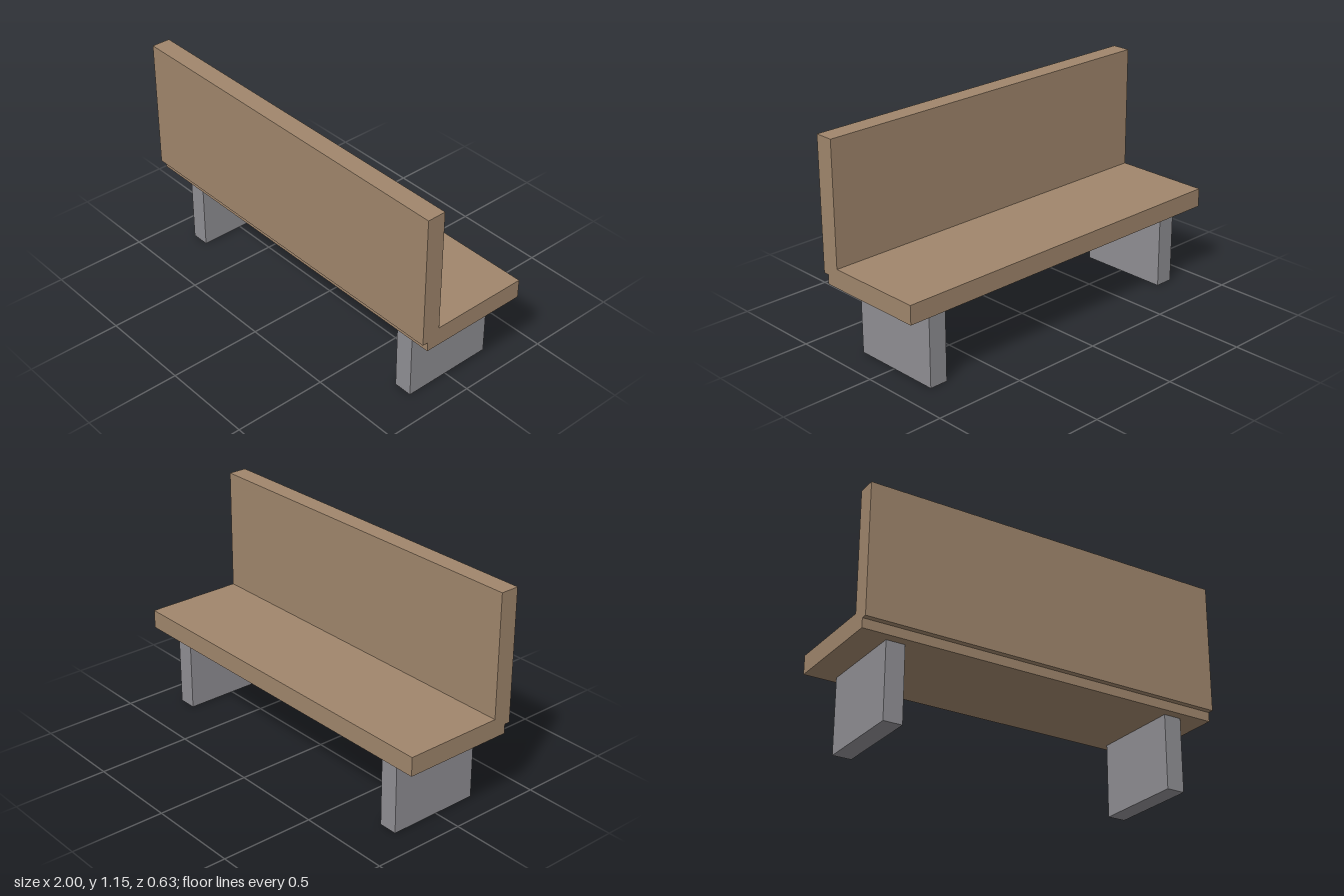
import * as THREE from 'three';

export function createModel() {
  const bench = new THREE.Group();
  bench.name = 'bench';

  const wood = new THREE.MeshStandardMaterial({ color: 0xa0866c });
  wood.name = 'wood';
  const stone = new THREE.MeshStandardMaterial({ color: 0x908f94 });
  stone.name = 'stone';

  // Seat and backrest: one side outline (-z, y) swept along the bench's length
  const outline = new THREE.Shape([
    [-0.285, 0.4], [0.315, 0.4], [0.315, 0.5], [-0.215, 0.5],
    [-0.215, 1.15], [-0.315, 1.15], [-0.315, 0.45], [-0.285, 0.45],
  ].map(([a, y]) => new THREE.Vector2(a, y)));
  const body = new THREE.ExtrudeGeometry(outline, { depth: 2, bevelEnabled: false });
  body.translate(0, 0, -1).rotateY(Math.PI / 2);
  const seat = new THREE.Mesh(body, wood);
  seat.name = 'seatAndBackrest';
  bench.add(seat);

  // Slab legs, mirrored left and right
  const slab = new THREE.BoxGeometry(0.1, 0.4, 0.5);
  for (const side of [-1, 1]) {
    const leg = new THREE.Mesh(slab, stone);
    leg.name = side > 0 ? 'leftLeg' : 'rightLeg';
    leg.position.set(side * 0.8, 0.2, -0.015);
    bench.add(leg);
  }

  return bench;
}
